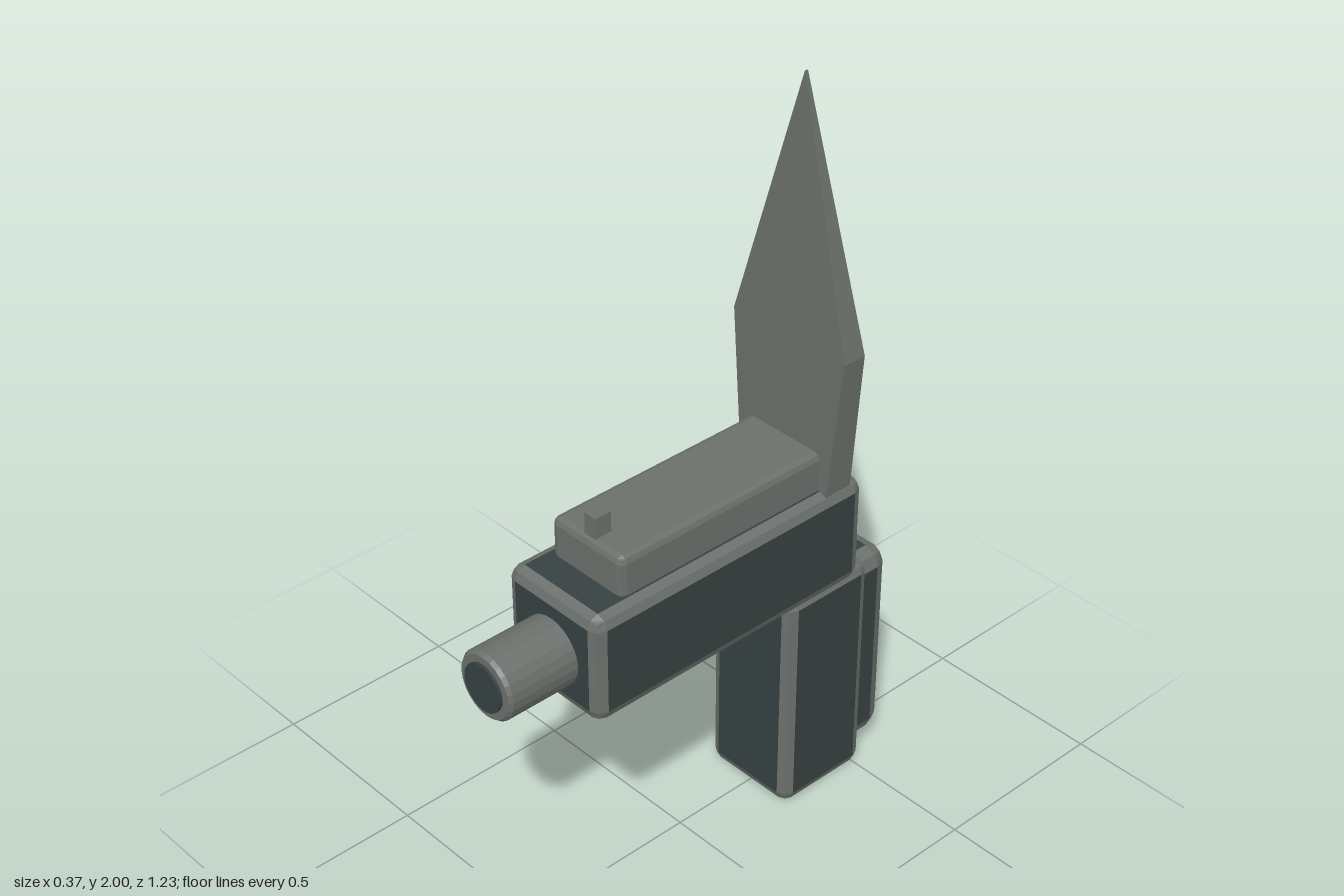
import * as THREE from 'three';
import { RoundedBoxGeometry } from 'three/addons/geometries/RoundedBoxGeometry.js';
import { ConvexGeometry } from 'three/addons/geometries/ConvexGeometry.js';

const darkPanel = new THREE.MeshStandardMaterial({ color: 0x374141 });
darkPanel.name = 'dark panel';
const greyMetal = new THREE.MeshStandardMaterial({ color: 0x6b706c });
greyMetal.name = 'grey metal';

// Bevelled box from min to max corner; flat faces go in group 0, bevels in group 1
function bevelBox(name, min, max, bevel, faceMaterial) {
  const s = max.map((v, i) => v - min[i]);
  const source = new RoundedBoxGeometry(s[0], s[1], s[2], 1, bevel);
  const p = source.attributes.position;
  const flat = [], edge = [];
  const tri = new THREE.Triangle(), n = new THREE.Vector3();
  for (let i = 0; i < p.count; i += 3) {
    tri.setFromAttributeAndIndices(p, i, i + 1, i + 2);
    if (tri.getArea() < 1e-9) continue;
    tri.getNormal(n);
    const isFace = Math.max(Math.abs(n.x), Math.abs(n.y), Math.abs(n.z)) > 0.999;
    for (const v of [tri.a, tri.b, tri.c]) (isFace ? flat : edge).push(v.x, v.y, v.z);
  }
  const geometry = new THREE.BufferGeometry();
  geometry.setAttribute('position', new THREE.Float32BufferAttribute(flat.concat(edge), 3));
  geometry.computeVertexNormals();
  geometry.addGroup(0, flat.length / 3, 0);
  geometry.addGroup(flat.length / 3, edge.length / 3, 1);
  const mesh = new THREE.Mesh(geometry, [faceMaterial, greyMetal]);
  mesh.name = name;
  mesh.position.set(...max.map((v, i) => (v + min[i]) / 2));
  return mesh;
}

export function createModel() {
  const model = new THREE.Group();
  model.name = 'model';
  const add = (name, geometry, material) => {
    const mesh = new THREE.Mesh(geometry, material);
    mesh.name = name;
    model.add(mesh);
    return mesh;
  };

  // Main housing, handle, rear pad and top slide
  model.add(
    bevelBox('body', [-0.16, 0.645, -0.465], [0.16, 0.945, 0.405], 0.032, darkPanel),
    bevelBox('handle', [-0.14, 0, -0.522], [0.14, 0.655, -0.24], 0.03, darkPanel),
    bevelBox('rearPad', [-0.125, 0.06, -0.613], [0.125, 0.648, -0.45], 0.045, darkPanel),
    bevelBox('topSlide', [-0.122, 0.9, -0.37], [0.122, 1.05, 0.295], 0.018, greyMetal)
  );

  // Front sight
  add('frontSight', new THREE.BoxGeometry(0.038, 0.075, 0.048), greyMetal)
    .position.set(0, 1.068, 0.257);

  // Barrel with a softened rim
  const profile = [[0, 0.38], [0.092, 0.38], [0.092, 0.597], [0.084, 0.607], [0, 0.607]]
    .map(([r, h]) => new THREE.Vector2(r, h));
  const barrelGeometry = new THREE.LatheGeometry(profile, 24).toNonIndexed();
  barrelGeometry.computeVertexNormals();
  const barrel = add('barrel', barrelGeometry, greyMetal);
  barrel.rotation.x = Math.PI / 2;
  barrel.position.y = 0.785;

  // Dark disc on the muzzle
  const muzzle = add('muzzle', new THREE.CylinderGeometry(0.064, 0.064, 0.008, 24), darkPanel);
  muzzle.rotation.x = Math.PI / 2;
  muzzle.position.set(0, 0.785, 0.611);

  // Upright blade: [height, half width, half depth]
  const points = [];
  for (const [y, w, d] of [[0.9, 0.146, 0.042], [1.325, 0.185, 0.034], [2, 0.001, 0.004]]) {
    for (const sx of [-1, 1]) {
      for (const sz of [-1, 1]) points.push(new THREE.Vector3(sx * w, y, -0.382 + sz * d));
    }
  }
  add('blade', new ConvexGeometry(points), greyMetal);

  return model;
}
